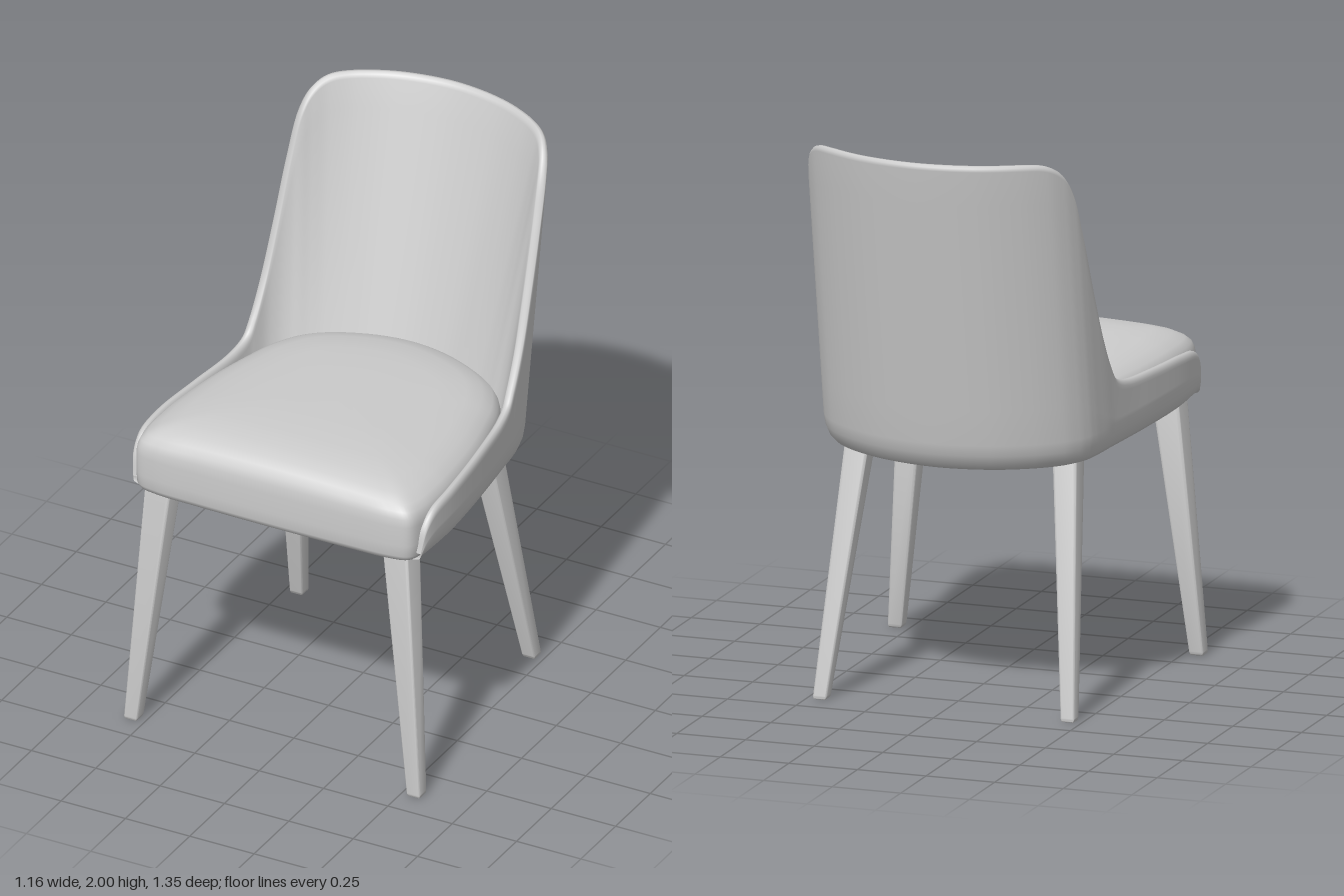
import * as THREE from 'three';
import { toCreasedNormals } from 'three/addons/utils/BufferGeometryUtils.js';
import { RoundedBoxGeometry } from 'three/addons/geometries/RoundedBoxGeometry.js';

// Smooth skin over a list of columns, each a list of [x, y, z]
function skin(columns, closedU, closedV) {
  const n = columns.length, m = columns[0].length, index = [];
  for (let i = 0; i < (closedU ? n : n - 1); i++) {
    for (let j = 0; j < (closedV ? m : m - 1); j++) {
      const i2 = (i + 1) % n, j2 = (j + 1) % m;
      const a = i * m + j, b = i2 * m + j, c = i2 * m + j2, d = i * m + j2;
      index.push(a, b, d, b, c, d);
    }
  }
  const geo = new THREE.BufferGeometry();
  geo.setAttribute('position', new THREE.Float32BufferAttribute(columns.flat(2), 3));
  geo.setIndex(index);
  geo.computeVertexNormals();
  return geo;
}

// Half of the shell's plan from the front of the arm to the middle of the back: x, rim height, z
const SHELL = [
  [0.558, 0.95, 0.622], [0.57, 1.04, 0.6], [0.577, 1.09, 0.55], [0.578, 1.11, 0.42],
  [0.557, 1.115, 0.2], [0.53, 1.125, 0.0], [0.521, 1.15, -0.06], [0.517, 1.2, -0.088],
  [0.512, 1.32, -0.13], [0.504, 1.52, -0.178], [0.495, 1.74, -0.222], [0.483, 1.89, -0.257],
  [0.463, 1.955, -0.293], [0.425, 1.99, -0.338], [0.34, 2.0, -0.4], [0.2, 2.0, -0.462],
  [0, 2.0, -0.492],
];
const bottomAt = (z) => 0.87 + (z + 0.49) * 0.045;

function shellCurve() {
  const half = SHELL.map((p) => new THREE.Vector3(...p));
  const other = half.slice(0, -1).reverse().map((p) => new THREE.Vector3(-p.x, p.y, p.z));
  return new THREE.CatmullRomCurve3([...half, ...other]);
}

// Wrap-around back and arms: a padded wall that leans back and thickens downward
function shellGeometry() {
  const curve = shellCurve(), steps = 256, columns = [];
  for (let i = 0; i <= steps; i++) {
    const p = curve.getPoint(i / steps);
    // Inward direction: straight across at the arms, fanning in around the back
    const ahead = Math.max(0, -p.z), len = Math.hypot(p.x, ahead);
    const nx = -p.x / len, nz = ahead / len;
    const top = Math.min(p.y, 2), bottom = bottomAt(p.z), h = top - bottom;
    const r = Math.min(1, h / 0.2);
    const lean = 0.172 * (1 - THREE.MathUtils.smoothstep(p.z, -0.15, 0.1));
    const padding = 0.085 + 0.08 * THREE.MathUtils.smoothstep(-p.z, 0.12, 0.42);

    // Section: offset inward, height
    const section = [[0.05, bottom], [0.033, bottom + 0.006 * r], [0.016, bottom + 0.025 * r],
      [0.004, bottom + 0.06 * r], [0, bottom + 0.1 * r]];
    const low = bottom + 0.1 * r, high = top - 0.02 * r;
    for (let k = 1; k <= 8; k++) section.push([0, low + (high - low) * k / 8]);
    section.push([0.003, top - 0.008 * r], [0.011, top], [0.02, top], [0.028, top - 0.008 * r]);
    const floor = Math.min(1.0, bottom + h * 0.5);
    for (let k = 0; k <= 10; k++) {
      const y = high + (floor - high) * k / 10;
      section.push([0.03 + padding * (top - y), y]);
    }
    section.push([0.06, bottom + 0.015 * r]);
    columns.push(section.map(([d, y]) => [p.x + nx * d, y, p.z + nz * d - lean * (y - 0.9)]));
  }
  return skin(columns, false, true);
}

// Seat cushion: plan outline swept through shrinking rings, with a crowned top
function cushionGeometry() {
  const half = [[0, 0.677], [0.3, 0.674], [0.46, 0.668], [0.53, 0.648], [0.553, 0.58], [0.557, 0.45],
    [0.547, 0.3], [0.525, 0.13], [0.492, -0.02], [0.45, -0.16], [0.365, -0.285], [0.2, -0.37], [0, -0.405]];
  const pts = [...half, ...half.slice(1, -1).reverse().map(([x, z]) => [-x, z])];
  const curve = new THREE.CatmullRomCurve3(pts.map(([x, z]) => new THREE.Vector3(x, 0, z)), true);
  const rings = [[0, 0.918], [0.95, 0.918], [0.98, 0.924], [0.995, 0.942], [1, 0.985], [1, 1.06],
    [0.994, 1.095], [0.978, 1.124], [0.945, 1.146], [0.88, 1.166], [0.78, 1.181], [0.6, 1.19],
    [0.3, 1.192], [0, 1.192]];
  const columns = [], cz = 0.15;
  for (let i = 0; i < 144; i++) {
    const p = curve.getPoint(i / 144);
    columns.push(rings.map(([s, y]) => {
      const x = p.x * s, z = cz + (p.z - cz) * s;
      const crown = 0.07 * x * x * THREE.MathUtils.clamp((y - 1.05) / 0.1, 0, 1);
      return [x, y - crown + Math.min(0, z - 0.4) * 0.035, z];
    }));
  }
  return skin(columns, true, false);
}

// Sloping plate that closes the underside
function undersideGeometry() {
  const outline = shellCurve().getPoints(90).map((p) => new THREE.Vector2(p.x * 0.92, -(p.z * 0.93)));
  const geo = new THREE.ExtrudeGeometry(new THREE.Shape(outline), { depth: 0.03, bevelEnabled: false });
  geo.rotateX(-Math.PI / 2);
  const pos = geo.attributes.position;
  for (let i = 0; i < pos.count; i++) pos.setY(i, pos.getY(i) + bottomAt(pos.getZ(i)) + 0.008);
  geo.computeVertexNormals();
  return geo;
}

// Square leg tapering from top to foot: both ends are [x, y, z, width]
function legGeometry(top, foot) {
  const geo = new RoundedBoxGeometry(1, 1, 1, 3, 0.12);
  const pos = geo.attributes.position;
  const height = top[1] - foot[1];
  for (let i = 0; i < pos.count; i++) {
    // Keep the end rounding small while stretching the box to full height
    const raw = pos.getY(i), end = Math.max(0, Math.abs(raw) - 0.38);
    const y = Math.sign(raw) * (height / 2 - 0.014 + end * 0.014 / 0.12);
    const f = y / height + 0.5, w = THREE.MathUtils.lerp(foot[3], top[3], f);
    pos.setXYZ(i, THREE.MathUtils.lerp(foot[0], top[0], f) + pos.getX(i) * w,
      foot[1] + f * height, THREE.MathUtils.lerp(foot[2], top[2], f) + pos.getZ(i) * w);
  }
  return toCreasedNormals(geo, 0.6);
}

export function createModel() {
  const model = new THREE.Group();
  model.name = 'chair';
  const grey = new THREE.MeshStandardMaterial({ color: 0xcccccc, side: THREE.DoubleSide });
  grey.name = 'light grey';
  const add = (name, geo) => {
    const mesh = new THREE.Mesh(geo, grey);
    mesh.name = name;
    model.add(mesh);
  };

  add('backShell', shellGeometry());
  add('seatCushion', cushionGeometry());
  add('underside', undersideGeometry());

  // Splayed legs, mirrored left and right
  for (const [side, s] of [['Left', 1], ['Right', -1]]) {
    add('frontLeg' + side, legGeometry([s * 0.46, 0.945, 0.58, 0.1], [s * 0.55, 0, 0.635, 0.052]));
    add('rearLeg' + side, legGeometry([s * 0.375, 0.92, -0.18, 0.09], [s * 0.452, 0, -0.378, 0.05]));
  }
  return model;
}
